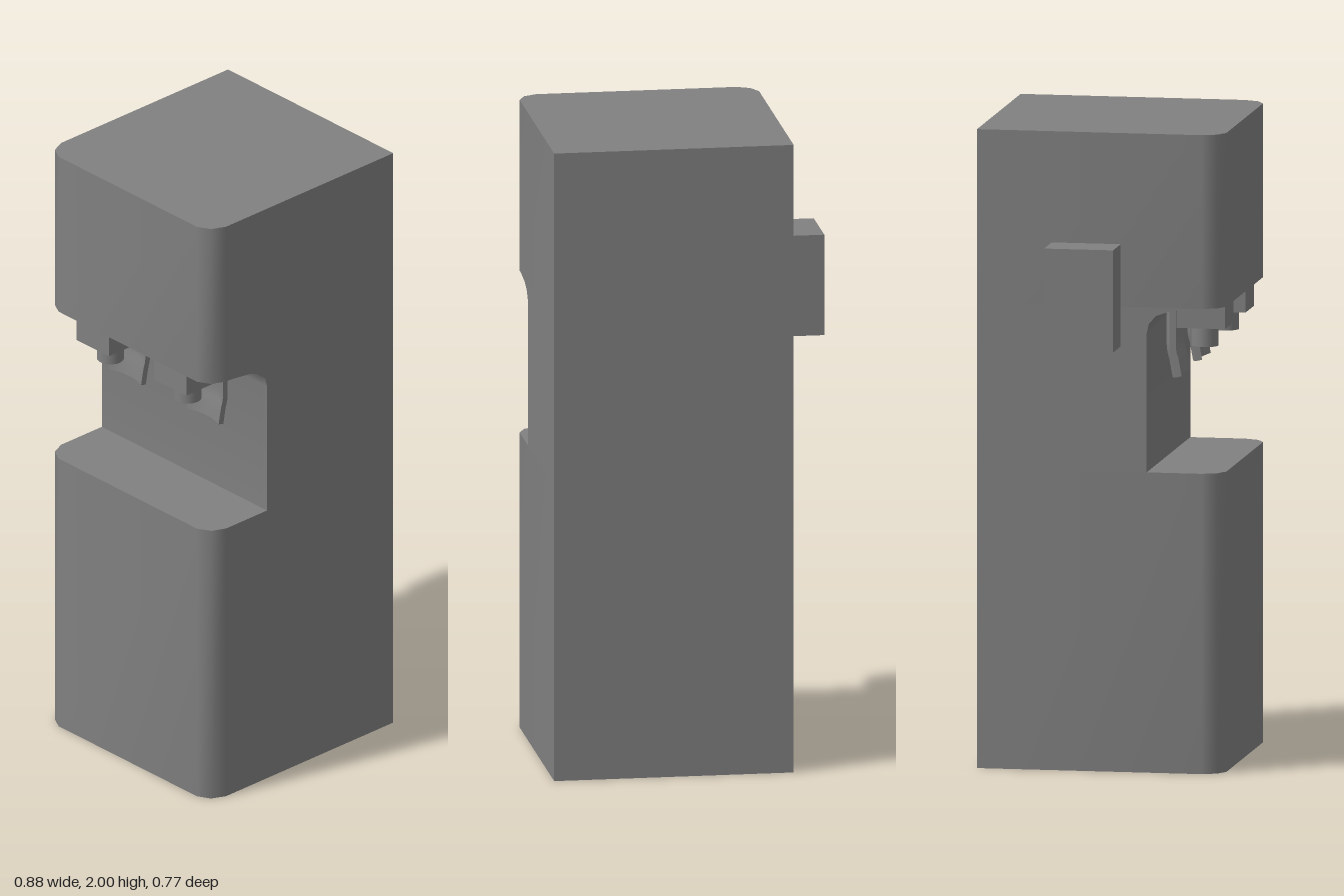
import * as THREE from 'three';
import { toCreasedNormals } from 'three/addons/utils/BufferGeometryUtils.js';

const material = new THREE.MeshStandardMaterial({ color: 0x808080 });

function add(parent, name, geometry, x = 0, y = 0, z = 0) {
  const mesh = new THREE.Mesh(geometry, material);
  mesh.name = name;
  mesh.position.set(x, y, z);
  parent.add(mesh);
  return mesh;
}

// Cabinet: one footprint lofted upwards, its front pushed back at the niche
function cabinetGeometry() {
  // The points at z = 0.31 keep the side walls flat up to the rounded corners
  const footprint = [
    [-0.309, -0.387], [-0.309, 0.31], [-0.309, 0.32], [-0.289, 0.365], [-0.248, 0.387],
    [0.38, 0.387], [0.421, 0.365], [0.441, 0.32], [0.441, 0.31], [0.441, -0.387],
  ];
  // height, furthest front z
  const levels = [
    [0, 1], [0.94, 1], [0.94, 0.147], [1.375, 0.147], [1.405, 0.154],
    [1.43, 0.177], [1.446, 0.22], [1.456, 0.3], [1.456, 1], [2, 1],
  ];
  const rings = levels.map(([y, front]) =>
    footprint.map(([x, z]) => new THREE.Vector3(x, y, Math.min(z, front))));
  const positions = [];
  const triangle = (a, b, c) => {
    if (new THREE.Triangle(a, b, c).getArea() < 1e-8) return;
    for (const p of [a, b, c]) positions.push(p.x, p.y, p.z);
  };
  const n = footprint.length;
  for (let i = 0; i < rings.length - 1; i++) {
    const low = rings[i], high = rings[i + 1];
    for (let j = 0; j < n; j++) {
      const k = (j + 1) % n;
      triangle(low[j], low[k], high[k]);
      triangle(low[j], high[k], high[j]);
    }
  }
  // Base and top
  const base = rings[0], top = rings[rings.length - 1];
  for (let j = 1; j < n - 1; j++) {
    triangle(base[0], base[j + 1], base[j]);
    triangle(top[0], top[j], top[j + 1]);
  }
  const geometry = new THREE.BufferGeometry();
  geometry.setAttribute('position', new THREE.Float32BufferAttribute(positions, 3));
  return toCreasedNormals(geometry, 0.8);
}

// Lever: a thin plate, cupped across its width and curling forward at the foot
function leverGeometry(width, height) {
  const geometry = new THREE.BoxGeometry(width, height, 0.02, 10, 12, 1);
  const position = geometry.attributes.position;
  for (let i = 0; i < position.count; i++) {
    const x = position.getX(i), y = position.getY(i);
    const z = position.getZ(i) + 0.02 * (2 * x / width) ** 2;
    const drop = Math.max(0, -0.01 - y);
    const slope = Math.min(0.24, drop * 5);
    position.setY(i, y + z * slope);
    position.setZ(i, z + drop * slope * 0.75);
  }
  return toCreasedNormals(geometry, 0.6);
}

export function createModel() {
  const model = new THREE.Group();
  model.name = 'waterDispenser';
  add(model, 'cabinet', cabinetGeometry());

  // Cup holder box on the right side
  add(model, 'sideBox', new THREE.BoxGeometry(0.132, 0.32, 0.217), -0.375, 1.492, -0.043);

  // Two taps under the niche ceiling
  [-0.111, 0.241].forEach((x, i) => {
    const tap = new THREE.Group();
    tap.name = i ? 'leftTap' : 'rightTap';
    tap.position.x = x;
    add(tap, 'spoutBlock', new THREE.BoxGeometry(0.148, 0.08, 0.152), 0, 1.416, 0.295);
    add(tap, 'nozzle', new THREE.CylinderGeometry(0.042, 0.042, 0.064, 24), 0, 1.345, 0.295);
    add(tap, 'lever', leverGeometry(0.148, 0.225), 0, 1.33, 0.186);
    model.add(tap);
  });
  return model;
}
